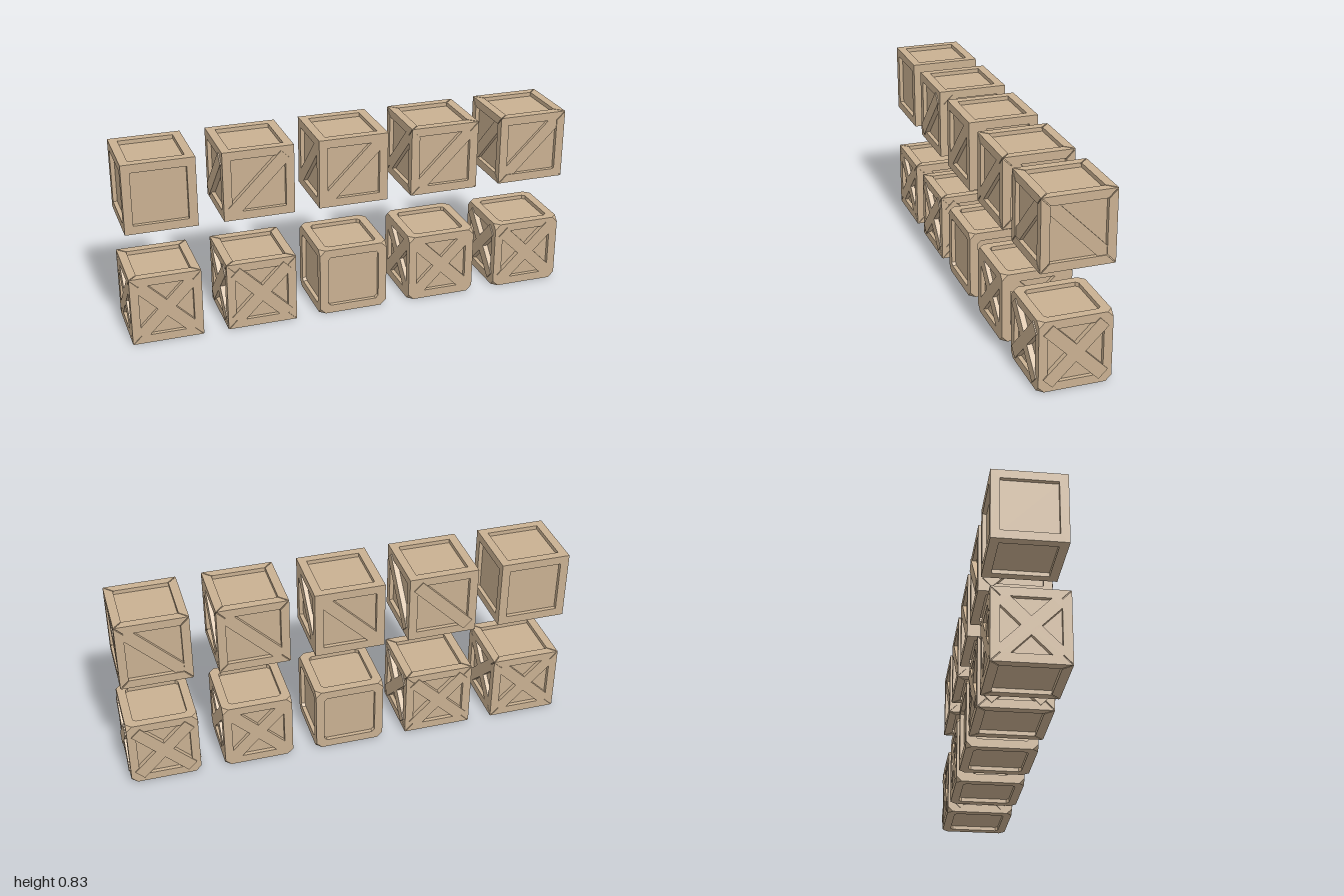
import * as THREE from 'three';

const wood = new THREE.MeshStandardMaterial({ color: 0xc9b091 });
wood.name = 'wood';

const H = 0.1555;      // half crate size
const O = 0.118;       // half opening of the frame
const T = 0.018;       // panel recess depth
const W = 0.039;       // brace width along the frame
const GROOVE = 0.005;  // mitre groove depth
const PROUD = 0.005;   // how far long braces stand out

// Square outline with cut corners, counter-clockwise
function outline(r, c) {
  if (!c) return [[-r, -r], [r, -r], [r, r], [-r, r]].map(p => new THREE.Vector2(...p));
  return [[c - r, -r], [r - c, -r], [r, c - r], [r, r - c], [r - c, r], [c - r, r], [-r, r - c], [-r, c - r]]
    .map(p => new THREE.Vector2(...p));
}

function add(parent, name, geometry) {
  const mesh = new THREE.Mesh(geometry, wood);
  mesh.name = name;
  parent.add(mesh);
  return mesh;
}

function trianglesGeometry(positions) {
  const g = new THREE.BufferGeometry();
  g.setAttribute('position', new THREE.Float32BufferAttribute(positions, 3));
  g.computeVertexNormals();
  return g;
}

// Inward-facing walls of the recess
function recessWalls(points, z0, z1) {
  const pos = [];
  points.forEach((a, i) => {
    const b = points[(i + 1) % points.length];
    pos.push(a.x, a.y, z0, a.x, a.y, z1, b.x, b.y, z1);
    pos.push(a.x, a.y, z0, b.x, b.y, z1, b.x, b.y, z0);
  });
  return trianglesGeometry(pos);
}

function extrude(points, z0, z1) {
  const shape = new THREE.Shape(points.map(p => new THREE.Vector2(...p)));
  return new THREE.ExtrudeGeometry(shape, { depth: z1 - z0, bevelEnabled: false }).translate(0, 0, z0);
}

// One framed face, pointing along local +z
function makeFace(style, sign) {
  const face = new THREE.Group();
  const base = style.mitre ? H - GROOVE : H;
  const hole = outline(O, style.cut ? 0.012 : 0);
  const frame = new THREE.Shape(outline(base, style.cut));
  frame.holes.push(new THREE.Path(hole));
  add(face, 'frame', new THREE.ShapeGeometry(frame)).position.z = base;
  add(face, 'recessWalls', recessWalls(hole, H - T, base));
  add(face, 'panel', new THREE.ShapeGeometry(new THREE.Shape(hole))).position.z = H - T;

  // Four mitred boards with narrow gaps at the corners
  if (style.mitre) {
    const e = 0.003;
    for (let i = 0; i < 4; i++) {
      const board = extrude([[e - H, -H], [H - e, -H], [O - e, -O], [e - O, -O]], base, H);
      add(face, 'frameBoard', board).rotation.z = i * Math.PI / 2;
    }
  }

  // Diagonal braces
  if (sign && style.braces) {
    const signs = style.braces === 2 ? [1, -1] : [sign];
    for (const s of signs) {
      let brace;
      if (style.proud) {
        const depth = T + PROUD;
        brace = new THREE.BoxGeometry(0.332, W * Math.SQRT2, depth)
          .rotateZ(Math.PI / 4).translate(0, 0, H - T + depth / 2);
      } else {
        brace = extrude([[-O, -O], [W - O, -O], [O, O - W], [O, O], [O - W, O], [-O, W - O]],
          H - T, H - (style.sunk || 0));
      }
      add(face, 'diagonalBrace', brace).rotation.z = s > 0 ? 0 : Math.PI / 2;
    }
  }
  return face;
}

// Small triangles closing the cut corners
function cornerCaps(c) {
  const pos = [];
  for (const x of [-1, 1]) for (const y of [-1, 1]) for (const z of [-1, 1]) {
    const a = [x * (H - c), y * H, z * H];
    const b = [x * H, y * (H - c), z * H];
    const d = [x * H, y * H, z * (H - c)];
    pos.push(...(x * y * z > 0 ? [...a, ...b.map((_, i) => d[i]), ...b] : [...a, ...b, ...d]));
  }
  // Make every triangle face away from the centre
  for (let i = 0; i < pos.length; i += 9) {
    const [a, b, d] = [0, 3, 6].map(k => new THREE.Vector3().fromArray(pos, i + k));
    const n = b.clone().sub(a).cross(d.clone().sub(a));
    if (n.dot(a) < 0) {
      d.toArray(pos, i + 3);
      b.toArray(pos, i + 6);
    }
  }
  return trianglesGeometry(pos);
}

function makeCrate(style) {
  const crate = new THREE.Group();
  const q = Math.PI / 2;
  // name, rotation x, rotation y, brace direction (0 = none)
  const faces = [
    ['frontFace', 0, 0, 1], ['backFace', 0, 2 * q, -1],
    ['leftFace', 0, q, -1], ['rightFace', 0, -q, 1],
    ['topFace', -q, 0, 0], ['bottomFace', q, 0, 0],
  ];
  for (const [name, rx, ry, sign] of faces) {
    const face = makeFace(style, sign);
    face.name = name;
    face.rotation.set(rx, ry, 0);
    crate.add(face);
  }
  if (style.cut) add(crate, 'cornerCaps', cornerCaps(style.cut));
  return crate;
}

export function createModel() {
  const model = new THREE.Group();
  model.name = 'crateSet';
  const cut = 0.025;
  // Upper row, then lower row, from -x to +x
  const styles = [
    { name: 'plainCrate' },
    { name: 'raisedBraceCrate', braces: 1, proud: true },
    { name: 'flushBraceCrate', braces: 1 },
    { name: 'mitredBraceCrate', braces: 1, mitre: true },
    { name: 'mitredSunkBraceCrate', braces: 1, mitre: true, sunk: 0.004 },
    { name: 'mitredCrossCrate', braces: 2, mitre: true },
    { name: 'mitredRaisedCrossCrate', braces: 2, mitre: true, proud: true },
    { name: 'cutCornerCrate', cut },
    { name: 'cutCornerCrossCrate', braces: 2, cut },
    { name: 'cutCornerRaisedCrossCrate', braces: 2, cut, proud: true },
  ];
  styles.forEach((style, i) => {
    const crate = makeCrate(style);
    crate.name = style.name;
    crate.position.set(-1 + H + (i % 5) * 0.421, i < 5 ? 0.52 + H : H, 0);
    model.add(crate);
  });
  return model;
}
